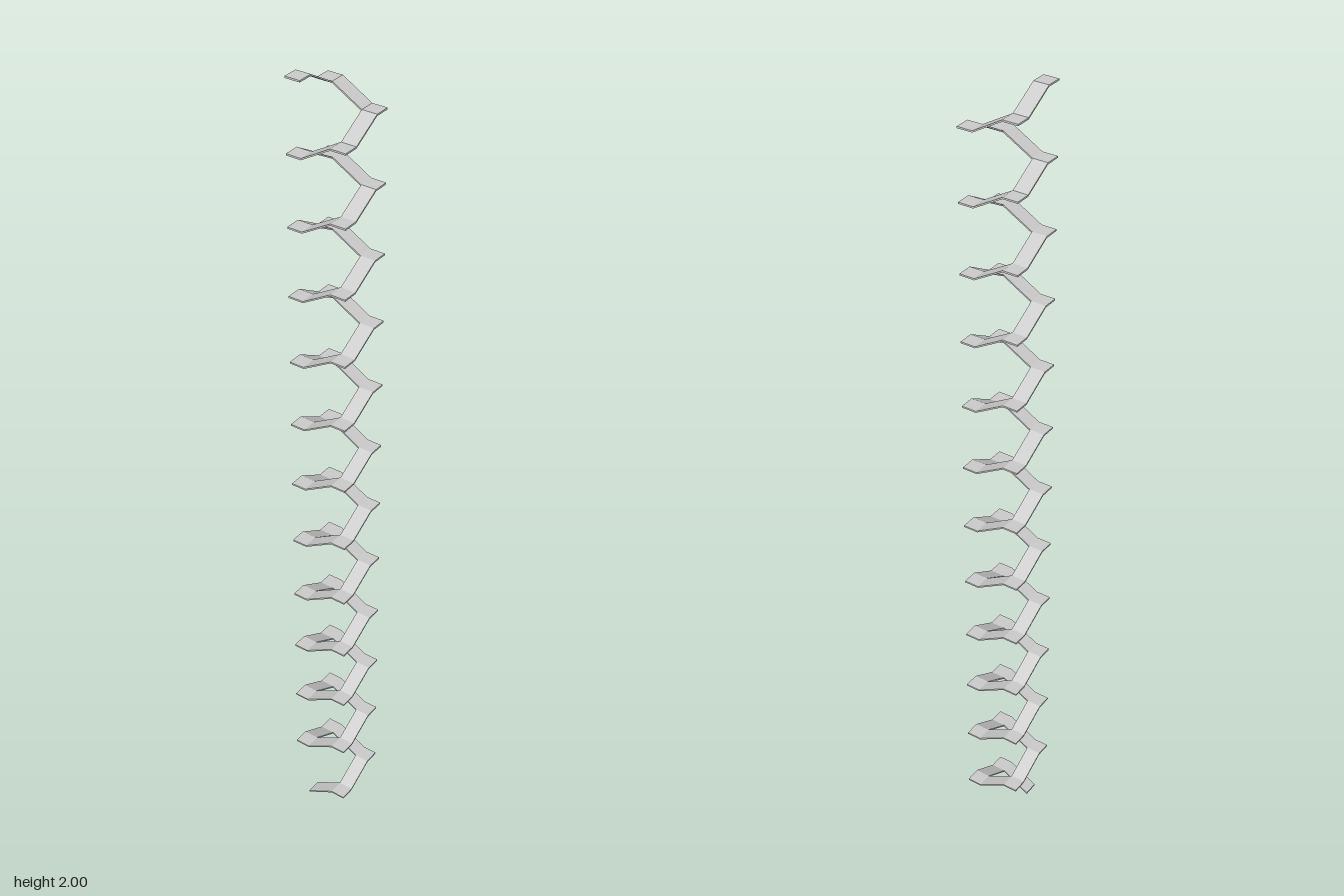
import * as THREE from 'three';
import { mergeGeometries } from 'three/addons/utils/BufferGeometryUtils.js';

const TURNS = 12;
const STEPS = TURNS * 4;
const OUTER = 0.073;            // half width of the square spiral
const INNER = 0.036;            // half width of the open well
const THICK = 0.004;
const RISE = (2 - THICK) / STEPS;

// Sloped slab along the front side, climbing towards +x from y = 0
function rampGeometry() {
  const g = new THREE.BoxGeometry(2 * INNER, THICK, OUTER - INNER);
  const p = g.attributes.position;
  for (let i = 0; i < p.count; i++) {
    p.setY(i, p.getY(i) + THICK / 2 + (p.getX(i) > 0 ? RISE : 0));
  }
  g.translate(0, 0, (OUTER + INNER) / 2);
  g.computeVertexNormals();
  return g;
}

// Level square at the front corner on +x, at the top of the ramp
function landingGeometry() {
  const size = OUTER - INNER, mid = (OUTER + INNER) / 2;
  return new THREE.BoxGeometry(size, THICK, size).translate(mid, RISE + THICK / 2, mid);
}

export function createModel() {
  const group = new THREE.Group();
  group.name = 'squareSpiral';
  const material = new THREE.MeshStandardMaterial({ color: 0xcccccc, flatShading: true });

  // Each step turns a quarter and climbs by one rise
  const repeat = (base) => {
    const parts = [];
    for (let i = 0; i < STEPS; i++) {
      parts.push(base.clone().rotateY((i % 4) * Math.PI / 2).translate(0, i * RISE, 0));
    }
    return mergeGeometries(parts);
  };

  const ramps = new THREE.Mesh(repeat(rampGeometry()), material);
  ramps.name = 'ramps';
  const landings = new THREE.Mesh(repeat(landingGeometry()), material);
  landings.name = 'cornerLandings';
  group.add(ramps, landings);
  return group;
}
